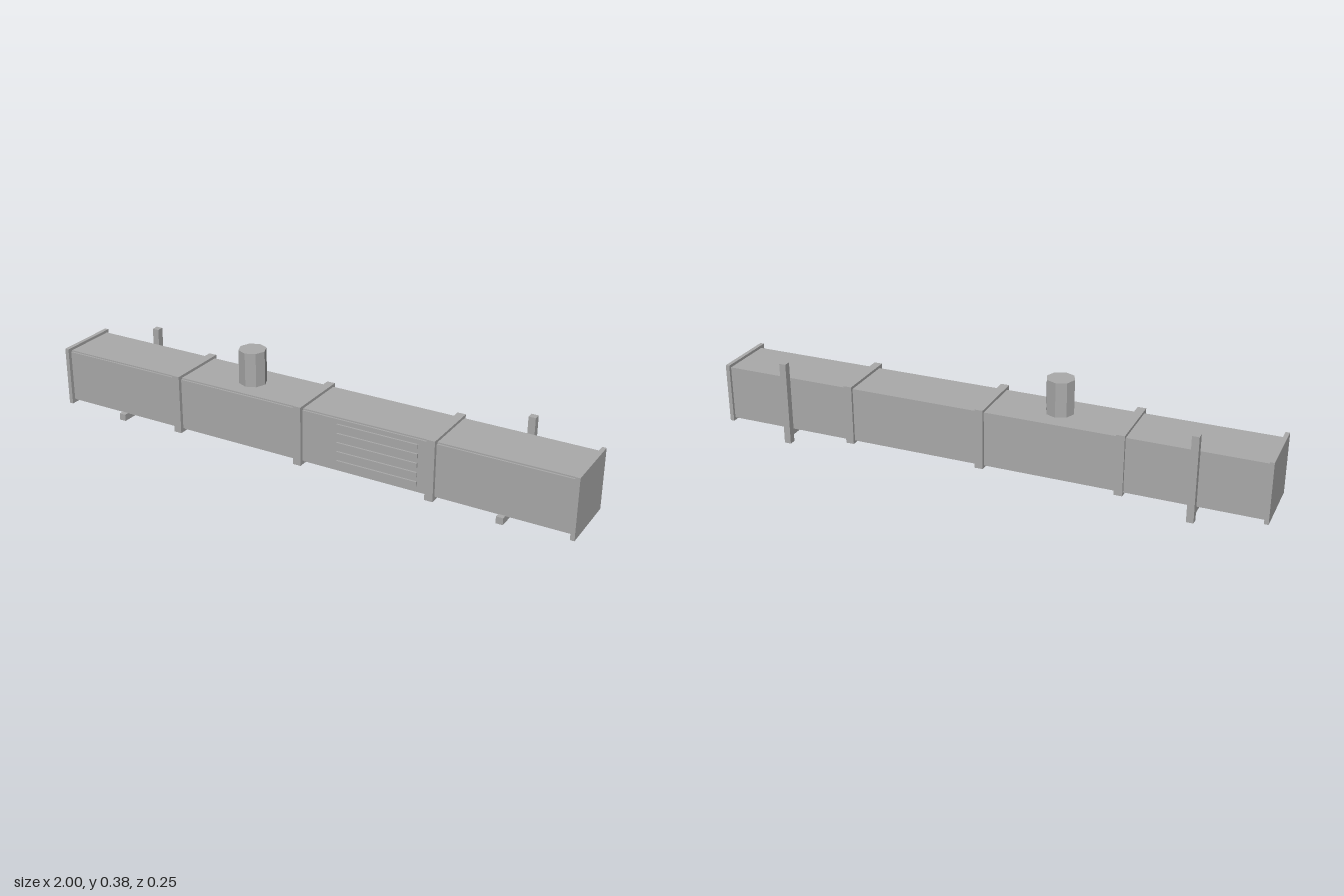
import * as THREE from 'three';

export function createModel() {
  const model = new THREE.Group();
  model.name = 'ventilationDuct';
  const metal = new THREE.MeshStandardMaterial({ color: 0xaaaaaa });
  metal.name = 'grey metal';

  // Box given by its minimum and maximum corners
  function box(name, [x0, y0, z0], [x1, y1, z1]) {
    const mesh = new THREE.Mesh(new THREE.BoxGeometry(x1 - x0, y1 - y0, z1 - z0), metal);
    mesh.position.set((x0 + x1) / 2, (y0 + y1) / 2, (z0 + z1) / 2);
    mesh.name = name;
    model.add(mesh);
  }

  // Long duct with a slightly inset front panel
  box('ductBody', [-0.99, 0.05, -0.1], [0.99, 0.25, 0.105]);
  box('frontPanel', [-0.99, 0.055, 0.105], [0.99, 0.245, 0.111]);

  // Joint bands along the duct and flanges closing both ends
  for (const x of [-0.5, 0, 0.5]) {
    box('jointBand', [x - 0.015, 0.04, -0.11], [x + 0.015, 0.26, 0.125]);
  }
  for (const x of [-0.9925, 0.9925]) {
    box('endFlange', [x - 0.0075, 0.04, -0.11], [x + 0.0075, 0.26, 0.125]);
  }

  // Wall brackets: upright post behind, support arm below
  for (const x of [-0.75, 0.75]) {
    box('bracketPost', [x - 0.0125, 0, -0.125], [x + 0.0125, 0.31, -0.1]);
    box('bracketArm', [x - 0.0125, 0.027, -0.1], [x + 0.0125, 0.052, 0.125]);
  }

  // Vent grille slats
  for (let i = -2; i <= 2; i++) {
    const y = 0.152 + i * 0.034;
    box('ventSlat', [0.15, y - 0.0085, 0.11], [0.45, y + 0.0085, 0.117]);
  }

  // Eight-sided outlet stack
  const stackShape = new THREE.CylinderGeometry(0.05, 0.05, 0.135, 8).toNonIndexed();
  stackShape.computeVertexNormals();
  const stack = new THREE.Mesh(stackShape, metal);
  stack.position.set(-0.25, 0.3075, 0.005);
  stack.name = 'outletStack';
  model.add(stack);

  return model;
}
